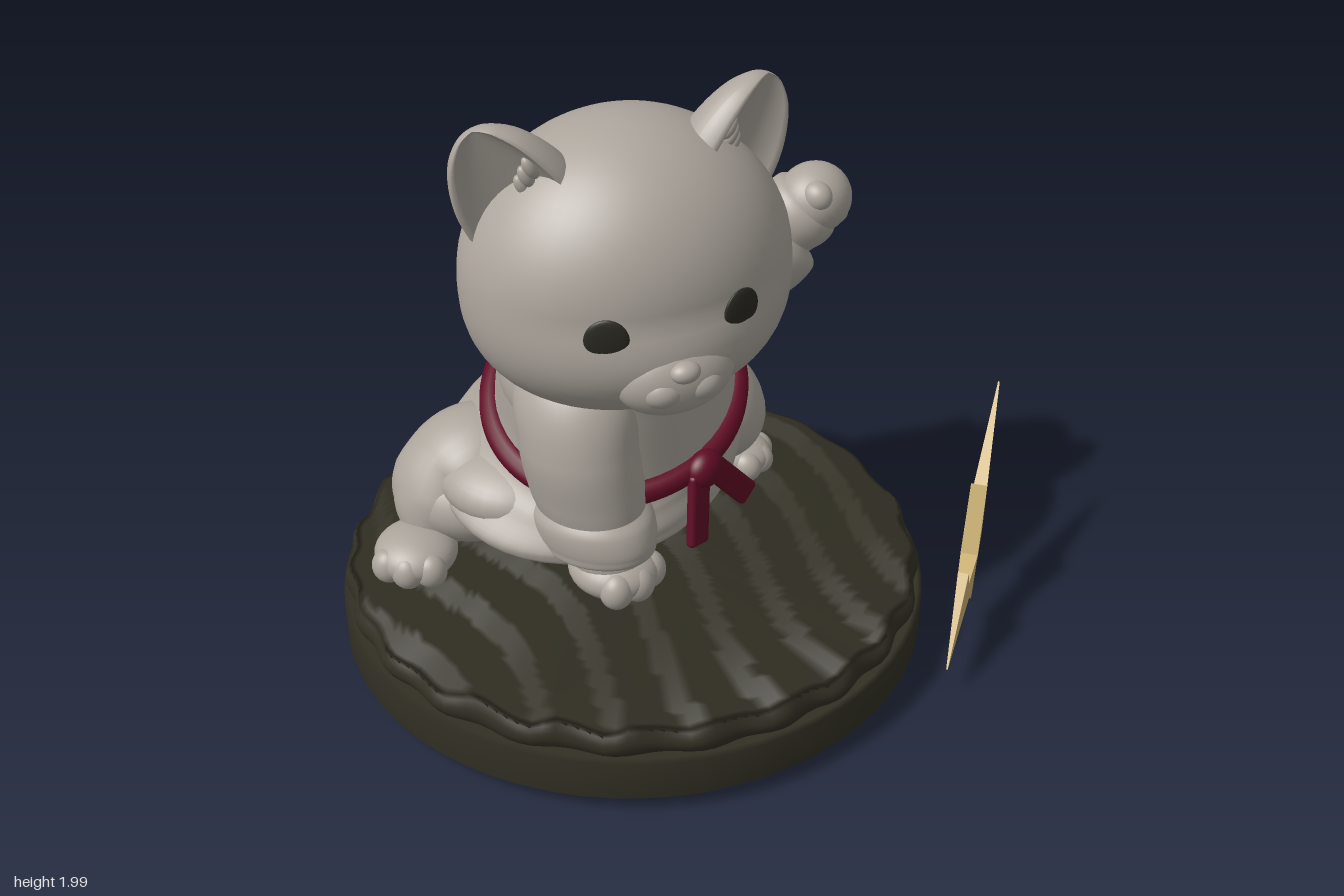
import * as THREE from 'three';
import { ParametricGeometry } from 'three/addons/geometries/ParametricGeometry.js';
import { RoundedBoxGeometry } from 'three/addons/geometries/RoundedBoxGeometry.js';

const mat = (name, color) => {
  const m = new THREE.MeshStandardMaterial({ color });
  m.name = name;
  return m;
};

export function createModel() {
  const root = new THREE.Group();
  root.name = 'catOnStand';
  const fur = mat('warm grey', 0xaca59c);
  fur.side = THREE.DoubleSide;
  const stone = mat('dark olive', 0x323024);
  const red = mat('dark red', 0x610c25);
  const gold = mat('pale gold', 0xccb174);
  const black = mat('eye black', 0x2a2922);

  const add = (name, geo, material, parent = root, pos = [0, 0, 0], rot = [0, 0, 0]) => {
    const m = new THREE.Mesh(geo, material);
    m.name = name;
    m.position.set(...pos);
    m.rotation.set(...rot);
    parent.add(m);
    return m;
  };
  const blob = (name, pos, size, material = fur, parent = root, rot) => {
    const m = add(name, new THREE.SphereGeometry(1, 32, 22), material, parent, pos, rot);
    m.scale.set(...size);
    return m;
  };
  // Smooth interpolation through rows of numbers, t from 0 to 1
  const spline = (rows) => {
    const it = new THREE.CubicInterpolant(rows.map((_, i) => i), rows.flat(), rows[0].length);
    return (t) => Array.from(it.evaluate(THREE.MathUtils.clamp(t, 0, 1) * (rows.length - 1)));
  };
  // Tilted elliptical sections from the bottom up: [x, y, z, radiusX, radiusZ, slopeX, slopeZ]
  const loft = (rows) => {
    const f = spline(rows);
    return new ParametricGeometry((u, v, p) => {
      const [x, y, z, rx, rz, sx, sz] = f(v);
      const dx = rx * Math.cos(-2 * Math.PI * u), dz = rz * Math.sin(-2 * Math.PI * u);
      p.set(x + dx, y + sx * dx + sz * dz, z + dz);
    }, 48, 48);
  };
  // Round limb along a path: [x, y, z, radius]
  const limb = (rows) => {
    const f = spline(rows);
    return new ParametricGeometry((u, v, p) => {
      const [x, y, z, r] = f(v);
      const a = f(v - 0.02), b = f(v + 0.02), ang = 2 * Math.PI * u;
      const t = new THREE.Vector3(b[0] - a[0], b[1] - a[1], b[2] - a[2]).normalize();
      const n = new THREE.Vector3(1, 0, 0).addScaledVector(t, -t.x).normalize();
      const w = new THREE.Vector3().crossVectors(t, n);
      p.set(x, y, z).addScaledVector(n, r * Math.cos(ang)).addScaledVector(w, r * Math.sin(ang));
    }, 32, 32);
  };

  // Stand: plain plinth under a rippled deck, slightly tilted
  const stand = new THREE.Group();
  stand.name = 'stand';
  stand.position.set(-0.045, 0.025, 0.018);
  stand.rotation.set(-0.015, 0, 0.022);
  root.add(stand);
  const plinth = [[0, 0], [0.945, 0], [0.96, 0.012], [0.96, 0.145], [0.945, 0.155], [0, 0.155]];
  add('plinth', new THREE.LatheGeometry(plinth.map((q) => new THREE.Vector2(...q)), 64), stone, stand);
  const ripple = (x, z) => {
    const s = (z * 0.9 - x * 0.3 + 0.06 * Math.sin(5 * x + 1)) * 4.6;
    const saw = s - Math.floor(s);
    return 0.032 * (saw < 0.7 ? saw / 0.7 : (1 - saw) / 0.3) - 0.016;
  };
  add('deck', new ParametricGeometry((u, v, p) => {
    const a = -2 * Math.PI * u, c = Math.cos(a), s = Math.sin(a);
    const edge = 0.932 + 0.01 * Math.sin(23 * a + Math.sin(3 * a));
    if (v < 0.15) {
      const k = v / 0.15;
      const r = edge - 0.012 + 0.02 * Math.sin(Math.PI * k);
      const y = 0.145 + k * (0.1 + ripple(c * edge, s * edge));
      p.set(r * c, y, r * s);
    } else {
      const k = (1 - v) / 0.85, r = Math.max(0.001, (edge - 0.012) * k);
      const y = 0.245 + 0.045 * (1 - k * k) + ripple(r * c, r * s);
      p.set(r * c, y, r * s);
    }
  }, 160, 60), stone, stand);

  // Robe: flared skirt, tilted waist, chest and neck
  add('robe', loft([
    [-0.2, 0.47, 0, 0.01, 0.01, 0, 0],
    [-0.23, 0.51, 0.01, 0.39, 0.43, -0.12, -0.12],
    [-0.25, 0.585, 0.0, 0.46, 0.54, -0.14, -0.16],
    [-0.21, 0.69, -0.01, 0.41, 0.475, -0.2, -0.2],
    [-0.17, 0.8, -0.03, 0.37, 0.415, -0.28, -0.22],
    [-0.13, 1.0, 0.01, 0.345, 0.38, -0.1, -0.1],
    [-0.06, 1.18, 0.06, 0.28, 0.31, 0, 0],
    [0.02, 1.32, 0.1, 0.12, 0.12, 0, 0],
  ]), fur);
  blob('seat', [-0.14, 0.54, -0.02], [0.35, 0.13, 0.42]);

  // Belt, knot and tails
  const ring = Array.from({ length: 24 }, (_, i) => {
    const a = (i / 24) * Math.PI * 2, x = 0.37 * Math.cos(a), z = 0.415 * Math.sin(a);
    return new THREE.Vector3(-0.17 + x, 0.8 - 0.28 * x - 0.22 * z, z - 0.03);
  });
  add('belt', new THREE.TubeGeometry(new THREE.CatmullRomCurve3(ring, true), 96, 0.042, 12, true), red);
  blob('beltKnot', [0.23, 0.685, -0.02], [0.05, 0.065, 0.07], red);
  const tail = (len, pos, rot) =>
    add('beltTail', new RoundedBoxGeometry(0.035, len, 0.085, 3, 0.015), red, root, pos, rot);
  tail(0.25, [0.25, 0.565, 0.03], [-0.15, 0, 0.12]);
  tail(0.25, [0.245, 0.6, -0.12], [0.7, 0, 0.12]);

  // Paw with rounded toes; local +x points to the toes
  const paw = (name, pos, rot, [sx, sy, sz]) => {
    const g = new THREE.Group();
    g.name = name;
    g.position.set(...pos);
    g.rotation.set(...rot);
    root.add(g);
    blob('pad', [0, 0, 0], [sx, sy, sz], fur, g);
    for (const k of [-1, 0, 1])
      blob('toe', [sx * (0.7 - 0.14 * k * k), -sy * 0.15, k * sz * 0.52],
        [sx * 0.36, sy * 0.76, sz * 0.4], fur, g);
  };

  // Legs in a wide stance
  add('nearLeg', limb([[-0.3, 0.58, 0.1, 0.12], [-0.45, 0.52, 0.27, 0.22], [-0.51, 0.46, 0.39, 0.21],
    [-0.5, 0.4, 0.5, 0.14], [-0.48, 0.35, 0.58, 0.02]]), fur);
  blob('nearTrouser', [-0.5, 0.46, 0.33], [0.26, 0.17, 0.24]);
  blob('nearThigh', [-0.32, 0.56, 0.29], [0.25, 0.125, 0.24]);
  paw('nearFoot', [-0.46, 0.345, 0.6], [0, -1.0, 0], [0.14, 0.08, 0.135]);
  add('farLeg', limb([[-0.2, 0.65, -0.15, 0.15], [-0.16, 0.61, -0.36, 0.2], [-0.13, 0.51, -0.45, 0.2],
    [-0.13, 0.4, -0.48, 0.13], [-0.13, 0.33, -0.48, 0.02]]), fur);
  blob('farTrouser', [-0.18, 0.57, -0.4], [0.24, 0.18, 0.22]);
  paw('farFoot', [-0.1, 0.345, -0.51], [0, 0.4, 0], [0.16, 0.075, 0.12]);

  // Arm resting on the stand
  add('lowerSleeve', loft([
    [0.03, 0.56, 0.28, 0.18, 0.14, 0, 0],
    [0.01, 0.68, 0.285, 0.2, 0.165, 0, 0],
    [-0.01, 0.85, 0.295, 0.2, 0.175, 0, 0],
    [-0.05, 1.03, 0.25, 0.2, 0.18, 0, 0],
    [-0.06, 1.2, 0.17, 0.1, 0.1, 0, 0],
  ]), fur);
  add('lowerCuff', loft([
    [0.04, 0.5, 0.28, 0.01, 0.01, 0.08, 0],
    [0.04, 0.475, 0.28, 0.19, 0.14, 0.08, 0],
    [0.035, 0.515, 0.28, 0.225, 0.165, 0.08, 0],
    [0.025, 0.59, 0.28, 0.215, 0.172, 0.08, 0],
    [0.015, 0.64, 0.28, 0.18, 0.145, 0.08, 0],
  ]), fur);
  blob('shoulder', [-0.12, 0.97, 0.2], [0.27, 0.21, 0.2]);
  blob('wrist', [0.09, 0.46, 0.27], [0.13, 0.1, 0.125]);
  paw('lowerPaw', [0.11, 0.405, 0.27], [0, 0, 0], [0.15, 0.085, 0.14]);

  // Raised arm
  add('raisedSleeve', limb([[-0.14, 0.98, -0.1, 0.16], [-0.1, 1.05, -0.27, 0.2], [-0.03, 1.14, -0.4, 0.175],
    [0.03, 1.22, -0.48, 0.165], [0.06, 1.27, -0.53, 0.16], [0.07, 1.285, -0.545, 0.01]]), fur);
  add('raisedCuff', limb([[0.01, 1.19, -0.455, 0.15], [0.02, 1.2, -0.465, 0.172], [0.05, 1.245, -0.505, 0.175],
    [0.07, 1.28, -0.535, 0.16], [0.075, 1.29, -0.545, 0.11]]), fur);
  add('forearm', limb([[0.05, 1.24, -0.49, 0.11], [0.1, 1.32, -0.54, 0.125], [0.15, 1.38, -0.58, 0.12],
    [0.19, 1.44, -0.62, 0.02]]), fur);
  blob('raisedPaw', [0.16, 1.395, -0.595], [0.115, 0.115, 0.125]);
  for (let i = 0; i < 4; i++)
    blob('finger', [0.21 - 0.005 * i, 1.44 - 0.03 * i, -0.54 - 0.035 * i], [0.055, 0.05, 0.045]);

  // Head with full cheeks and jaw; local +x is the face
  const head = new THREE.Group();
  head.name = 'head';
  head.position.set(0.045, 1.465, 0.14);
  head.rotation.set(0.04, -0.45, 0);
  root.add(head);
  const width = (ny) => 0.497 * (1 - 0.06 * ny);
  const skull = new THREE.SphereGeometry(1, 56, 40), sp = skull.attributes.position;
  for (let i = 0; i < sp.count; i++) {
    const x = sp.getX(i), y = sp.getY(i), low = Math.max(0, -y);
    const full = low > 0 && low < 0.9999 ? Math.sqrt((1 - low ** 2.5) / (1 - y * y)) : 1;
    const jaw = x > 0 ? 1 + 0.13 * x * Math.sin(Math.PI * low) : 1;
    sp.setXYZ(i, x * 0.42 * full * jaw, y * (y < 0 ? 0.45 : 0.435), sp.getZ(i) * width(y) * full);
  }
  skull.computeVertexNormals();
  add('skull', skull, fur, head);
  blob('muzzle', [0.375, -0.19, 0], [0.105, 0.125, 0.18], fur, head);
  blob('noseTip', [0.463, -0.135, 0], [0.035, 0.032, 0.045], fur, head);

  // Ear with a hollow front
  const earProfile = [[0.19, 0], [0.182, 0.1], [0.155, 0.19], [0.115, 0.265], [0.065, 0.315], [0.03, 0.332], [0, 0.336]];
  const earCurve = new THREE.SplineCurve(earProfile.map((q) => new THREE.Vector2(...q)));
  const ear = new THREE.LatheGeometry(earCurve.getPoints(20), 48), ep = ear.attributes.position;
  for (let i = 0; i < ep.count; i++) {
    const x = ep.getX(i), r = Math.hypot(x, ep.getZ(i)), c = r > 1e-4 ? x / r : 0;
    ep.setX(i, r * 0.72 * (c > 0.5 ? 0.5 - (c - 0.5) * 1.1 : c));
  }
  ear.computeVertexNormals();

  for (const s of [-1, 1]) {
    const g = new THREE.Group();
    g.name = s > 0 ? 'nearEar' : 'farEar';
    g.position.set(0.02, 0.2, s * 0.285);
    g.rotation.set(s * 0.44, -s * 0.42, -0.06);
    head.add(g);
    add('earShell', ear, fur, g);
    for (let i = 0; i < 3; i++)
      blob('earTuft', [0.02, 0.12 + 0.025 * i, -s * (0.04 + 0.025 * i)], [0.022, 0.04, 0.02], fur, g);
    // Eye and mouth bump
    const ey = -0.025, ez = 0.2;
    const ex = 0.424 * Math.sqrt(1 - (ey / 0.435) ** 2 - (ez / width(ey / 0.435)) ** 2);
    blob('eye', [ex, ey, s * ez], [0.014, 0.068, 0.064], black, head, [0, -s * 0.36, 0]);
    blob('mouthBump', [0.425, -0.2, s * 0.055], [0.06, 0.055, 0.07], fur, head);
  }

  // Lightning bolt, outline in z and y, standing on a slanted vertical plane
  const outline = [[-0.99, 0.74], [-0.78, 0.32], [-0.71, 0.36], [-0.61, 0.16], [-0.585, 0.2], [-0.335, 0.11],
    [-0.515, 0.345], [-0.54, 0.285], [-0.64, 0.315], [-0.71, 0.54], [-0.76, 0.495]];
  const k = Math.sqrt(1.25);
  const shape = new THREE.Shape(outline.map(([z, y]) => new THREE.Vector2((z + 0.665) * k, y)));
  const bolt = new THREE.ExtrudeGeometry(shape, { depth: 0.05, bevelEnabled: false });
  bolt.translate(0, 0, -0.025);
  // Thin the plate towards both tips
  const bp = bolt.attributes.position;
  for (let i = 0; i < bp.count; i++)
    bp.setZ(i, bp.getZ(i) * Math.max(0.1, 1.2 - 3 * Math.abs(bp.getX(i))));
  bolt.computeVertexNormals();
  add('lightningBolt', bolt, gold, root, [0.825, 0, -0.665], [0, -Math.atan2(2, 1), 0]);

  return root;
}
